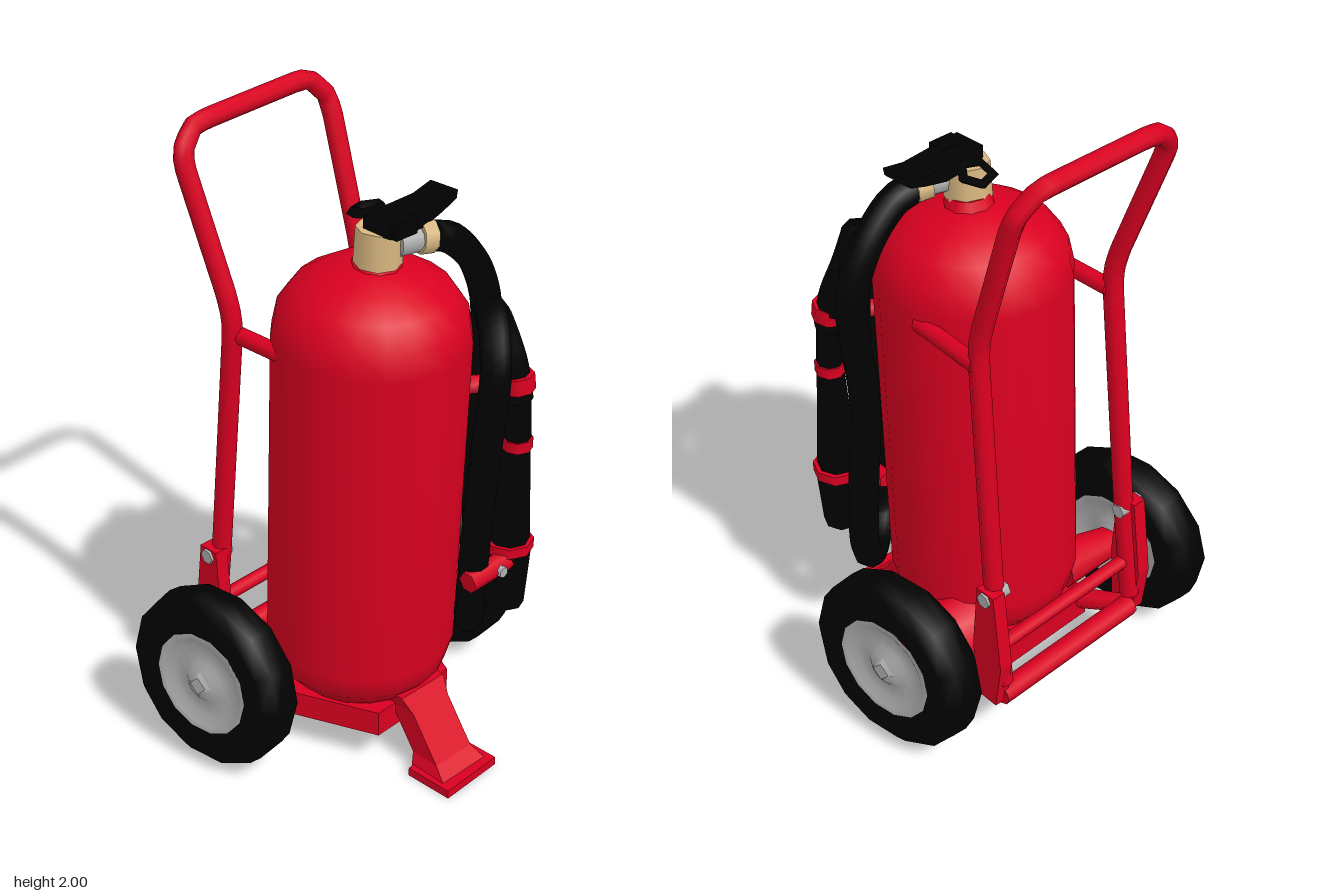
import * as THREE from 'three';

const V = (p) => new THREE.Vector3(...p);
const mat = (name, color, side = THREE.FrontSide) => {
  const m = new THREE.MeshStandardMaterial({ color, side });
  m.name = name;
  return m;
};

export function createModel() {
  const red = mat('red paint', 0xda0020, THREE.DoubleSide);
  const black = mat('black rubber', 0x010101, THREE.DoubleSide);
  const grey = mat('grey metal', 0xb0b0b0, THREE.DoubleSide);
  const brass = mat('brass', 0xdab882);
  const root = new THREE.Group();
  root.name = 'wheeledExtinguisher';

  const add = (name, geo, material, pos = [0, 0, 0], rot = [0, 0, 0], parent = root) => {
    const m = new THREE.Mesh(geo, material);
    m.name = name;
    m.position.set(...pos);
    m.rotation.set(...rot);
    parent.add(m);
    return m;
  };
  // Bent tube through a few points
  const tube = (name, pts, r, material, tension = 0.5, seg = 48, sides = 8) =>
    add(name, new THREE.TubeGeometry(
      new THREE.CatmullRomCurve3(pts.map(V), false, 'catmullrom', tension), seg, r, sides), material);
  // Straight, optionally tapered, rod from a to b
  const rod = (name, a, b, ra, rb, material, sides = 8) => {
    const d = V(b).sub(V(a));
    const m = add(name, new THREE.CylinderGeometry(rb, ra, d.length(), sides), material);
    m.position.copy(V(a).add(V(b)).multiplyScalar(0.5));
    m.quaternion.setFromUnitVectors(new THREE.Vector3(0, 1, 0), d.normalize());
    return m;
  };
  const shape = (pts) => new THREE.Shape(pts.map(([x, y]) => new THREE.Vector2(x, y)));
  const extrude = (s, depth) => new THREE.ExtrudeGeometry(s, { depth, bevelEnabled: false });

  // Tank, leaning slightly forward
  const tankProfile = [[0, 0], [0.15, 0.01], [0.22, 0.04], [0.27, 0.1], [0.29, 0.18], [0.29, 0.7],
    [0.29, 1.22], [0.275, 1.3], [0.23, 1.365], [0.16, 1.41], [0.07, 1.44], [0, 1.445]];
  add('tank', new THREE.LatheGeometry(tankProfile.map(([x, y]) => new THREE.Vector2(x, y)), 20),
    red, [-0.013, 0.18, -0.02], [0.047, 0, 0]);
  rod('tankNeck', [-0.01, 1.58, 0.05], [-0.01, 1.645, 0.055], 0.09, 0.06, red, 10);

  // Valve
  rod('valveBody', [-0.018, 1.63, 0.065], [-0.018, 1.74, 0.07], 0.07, 0.066, brass);
  rod('hoseCoupling', [0.02, 1.69, 0.1], [0.085, 1.69, 0.118], 0.042, 0.042, grey);
  rod('couplingRing', [0.085, 1.69, 0.118], [0.128, 1.685, 0.13], 0.05, 0.05, brass);
  const lever = shape([[-0.06, 1.735], [0.08, 1.725], [0.16, 1.745], [0.22, 1.765],
    [0.225, 1.79], [0.15, 1.775], [-0.06, 1.78]]);
  add('valveLever', extrude(lever, 0.1), black, [0, 0, 0.045], [0, 0.07, 0]);
  add('leverRing', new THREE.TorusGeometry(0.047, 0.016, 4, 5), black, [0.02, 1.752, -0.012], [Math.PI / 2 - 0.25, 0, 0]);
  add('leverNose', new THREE.BoxGeometry(0.08, 0.05, 0.06), black, [0, 1.755, 0.13]);

  // Hose: down the side, up the front and over into the nozzle
  tube('hose', [[0.125, 1.685, 0.13], [0.2, 1.655, 0.14], [0.29, 1.56, 0.14], [0.345, 1.43, 0.14], [0.35, 1.3, 0.14],
    [0.32, 1.1, 0.145], [0.31, 0.95, 0.15], [0.32, 0.7, 0.16], [0.322, 0.48, 0.165], [0.285, 0.395, 0.18], [0.195, 0.41, 0.25],
    [0.155, 0.5, 0.29], [0.145, 0.8, 0.32], [0.13, 1.1, 0.36], [0.125, 1.32, 0.388], [0.155, 1.43, 0.355],
    [0.21, 1.475, 0.29], [0.26, 1.42, 0.27], [0.28, 1.3, 0.31], [0.285, 1.18, 0.335]],
  0.046, black, 0.5, 110, 8);
  tube('hoseLoop', [[0.2, 1.473, 0.3], [0.26, 1.45, 0.23], [0.31, 1.37, 0.18], [0.335, 1.25, 0.15]], 0.046, black, 0.5, 16);
  rod('nozzleGrip', [0.285, 1.2, 0.335], [0.29, 1.03, 0.335], 0.038, 0.042, black);
  rod('nozzleBarrel', [0.29, 1.04, 0.335], [0.3, 0.67, 0.31], 0.04, 0.064, black);
  rod('nozzleHorn', [0.3, 0.67, 0.31], [0.29, 0.46, 0.31], 0.07, 0.06, black);
  rod('nozzleBand', [0.29, 1.055, 0.335], [0.29, 1.02, 0.335], 0.047, 0.047, red);
  rod('nozzleClamp', [0.283, 1.265, 0.328], [0.285, 1.215, 0.333], 0.053, 0.053, red);
  rod('nozzleHolder', [0.3, 0.688, 0.31], [0.3, 0.655, 0.31], 0.076, 0.076, red);
  rod('clampArm', [0.16, 1.24, 0.24], [0.28, 1.24, 0.32], 0.03, 0.03, red, 6);
  rod('holderArm', [0.095, 0.63, 0.335], [0.26, 0.635, 0.335], 0.034, 0.034, red, 6);
  rod('holderPost', [0.2, 0.63, 0.2], [0.2, 0.63, 0.335], 0.028, 0.028, red, 6);
  rod('holderBolt', [0.21, 0.632, 0.35], [0.21, 0.632, 0.376], 0.02, 0.018, grey, 6);

  // Push handle with bent rails
  tube('handle', [[-0.28, 0.27, -0.39], [-0.28, 0.6, -0.345], [-0.275, 1.36, -0.265], [-0.275, 1.43, -0.265],
    [-0.28, 1.5, -0.28], [-0.31, 1.85, -0.395], [-0.305, 1.9, -0.41], [-0.255, 1.95, -0.428], [-0.2, 1.96, -0.43],
    [0.15, 1.97, -0.442], [0.2, 1.965, -0.44], [0.25, 1.91, -0.422], [0.255, 1.85, -0.4], [0.25, 1.5, -0.295],
    [0.25, 1.43, -0.28], [0.25, 1.36, -0.28], [0.265, 0.6, -0.36], [0.27, 0.27, -0.41]],
  0.03, red, 0.1, 120, 8);
  rod('upperCrossbar', [-0.28, 0.4, -0.37], [0.27, 0.4, -0.39], 0.022, 0.022, red);
  rod('lowerCrossbar', [-0.28, 0.22, -0.39], [0.28, 0.22, -0.41], 0.035, 0.035, red);

  // Stays, rail brackets and wheels on both sides
  const tyre = [[0.163, -0.062], [0.2, -0.078], [0.245, -0.077], [0.285, -0.045], [0.292, 0],
    [0.285, 0.045], [0.245, 0.077], [0.2, 0.078], [0.163, 0.062]].map(([r, y]) => new THREE.Vector2(r, y));
  const rim = [[0, 0.074], [0.05, 0.068], [0.07, 0.052], [0.12, 0.05], [0.15, 0.066], [0.17, 0.067]]
    .map(([r, y]) => new THREE.Vector2(r, y));
  for (const s of [-1, 1]) {
    const side = s < 0 ? 'right' : 'left';
    const dz = -0.01 * s;
    const railX = s < 0 ? -0.285 : 0.265;
    rod(side + 'Stay', [s * 0.25, 1.37, -0.03], [s * 0.262, 1.37, -0.27 + dz], 0.026, 0.026, red);
    const bracket = shape([[0.33, 0.2], [0.42, 0.2], [0.44, 0.36], [0.405, 0.62], [0.335, 0.62], [0.32, 0.4]]);
    add(side + 'RailBracket', extrude(bracket, 0.045), red, [railX + 0.022 * s - 0.0225, 0, dz + 0.01], [0, Math.PI / 2, 0]);
    const bz = -0.36 + dz;
    rod(side + 'BracketBolt', [railX - 0.035 * s, 0.595, bz], [railX + 0.053 * s, 0.595, bz], 0.025, 0.025, grey, 6);

    const wheel = new THREE.Group();
    wheel.name = side + 'Wheel';
    wheel.position.set(0.457 * s, 0.3, s < 0 ? -0.187 : -0.15);
    wheel.rotation.set(0, 0.15, -Math.PI / 2 + (s < 0 ? -0.055 : 0.025));
    root.add(wheel);
    add('tyre', new THREE.LatheGeometry(tyre, 14), black, [0, 0, 0], [0, 0, 0], wheel);
    for (const f of [-1, 1])
      add('rim', new THREE.LatheGeometry(rim, 14), grey, [0, 0, 0], [f < 0 ? Math.PI : 0, 0, 0], wheel);
    add('hubCap', new THREE.CylinderGeometry(0.03, 0.05, 0.02, 4), grey, [0, s * 0.072, 0], [s < 0 ? Math.PI : 0, 0, 0], wheel);
    rod(side + 'AxleHousing', [s * 0.2, 0.28, -0.16], [s * 0.39, 0.29, s < 0 ? -0.195 : -0.145], s < 0 ? 0.08 : 0.13, s < 0 ? 0.05 : 0.095, red, 8);
    // Strut from the tray to the foot of the rail
    rod(side + 'TrayStrut', [s * 0.2, 0.17, -0.2], [railX, 0.22, -0.4 + dz], 0.035, 0.03, red, 6);
  }
  rod('axle', [-0.45, 0.3, -0.187], [0.45, 0.3, -0.15], 0.03, 0.03, red);

  // Base tray with a drain hole
  const tray = shape([[-0.23, 0.25], [0.26, 0.27], [0.28, 0.08], [0.16, -0.2], [-0.15, -0.21], [-0.27, 0.06]]);
  tray.holes.push(new THREE.Path().absarc(0, 0.06, 0.07, 0, Math.PI * 2, true));
  add('baseTray', extrude(tray, 0.085), red, [0, 0.12, 0], [-Math.PI / 2, 0, 0]);

  // Front foot: sloping leg widening into a sole
  const leg = new THREE.BoxGeometry(1, 1, 1, 1, 3, 1);
  const rows = [[0.02, 0.37, 0.095, 0.07], [0.06, 0.335, 0.075, 0.05], [0.2, 0.235, 0.075, 0.05], [0.25, 0.19, 0.09, 0.06]];
  const p = leg.attributes.position;
  for (let i = 0; i < p.count; i++) {
    const [y, z, w, d] = rows[Math.round((p.getY(i) + 0.5) * 3)];
    p.setXYZ(i, Math.sign(p.getX(i)) * w, y, z + Math.sign(p.getZ(i)) * d);
  }
  const flatLeg = leg.toNonIndexed();
  flatLeg.computeVertexNormals();
  add('frontLeg', flatLeg, red);
  add('footPlate', new THREE.BoxGeometry(0.22, 0.028, 0.16), red, [0, 0.014, 0.38], [0, 0.05, 0]);
  return root;
}
